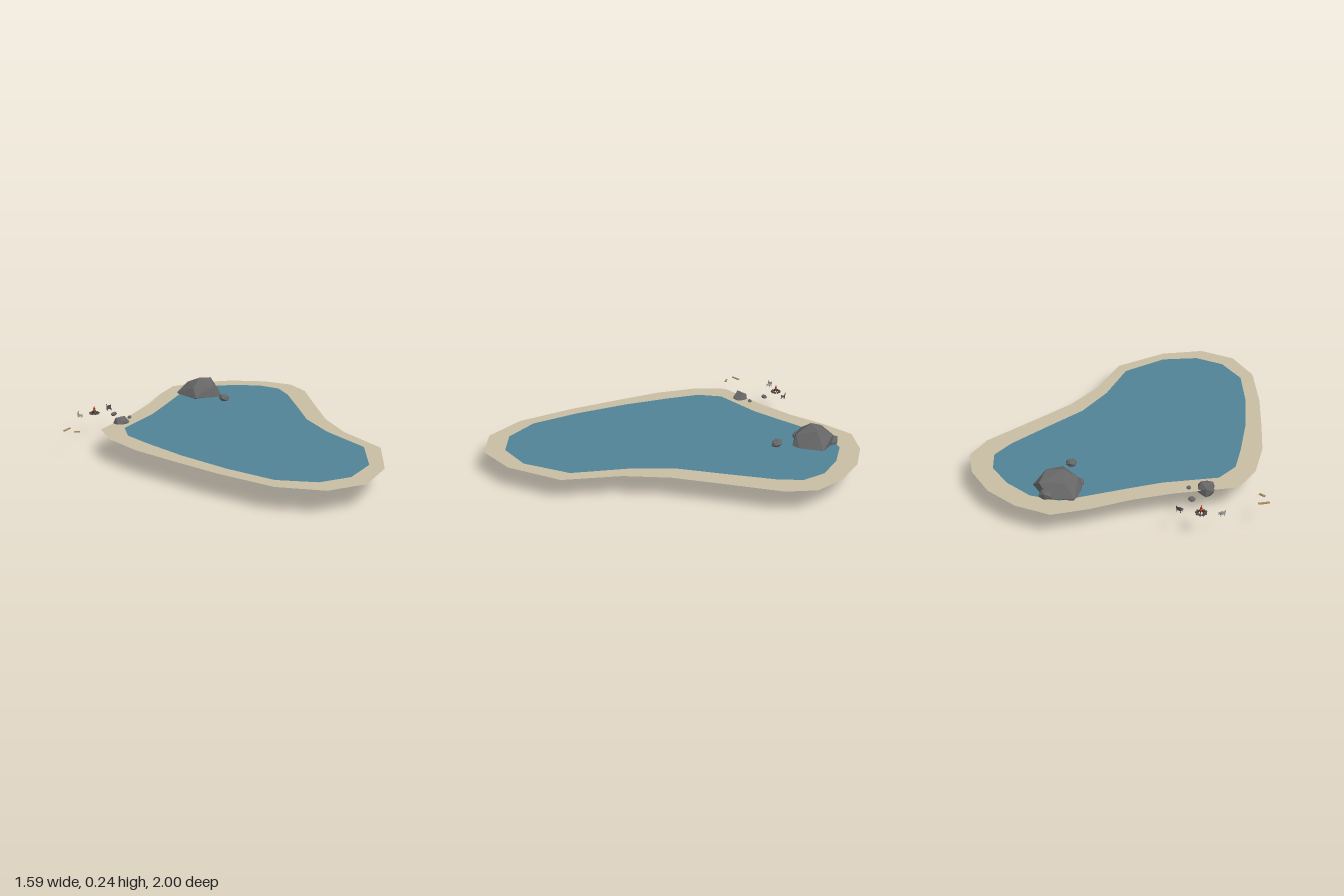
import * as THREE from 'three';
import { ConvexGeometry } from 'three/addons/geometries/ConvexGeometry.js';

const GROUND = 0.133;
const mat = (color, side = THREE.FrontSide) => new THREE.MeshStandardMaterial({ color, side, flatShading: true });
const stone = mat(0x666666), darkStone = mat(0x4c4c4c), wood = mat(0xa58a62);
const darkWood = mat(0x4a3020), flameMat = mat(0xc8452a), cloth = mat(0x999999);

function add(parent, name, geometry, material, x = 0, y = 0, z = 0) {
  const mesh = new THREE.Mesh(geometry, material);
  mesh.name = name;
  mesh.position.set(x, y, z);
  parent.add(mesh);
  return mesh;
}

// Flat polygon lying on the ground, from [x, z] corners
function sheet(corners) {
  const shape = new THREE.Shape(corners.map(([x, z]) => new THREE.Vector2(x, -z)));
  return new THREE.ShapeGeometry(shape).rotateX(-Math.PI / 2);
}

// Irregular faceted boulder: hull of an icosahedron with uneven corners
function boulder(rx, ry, rz, seed) {
  const p = new THREE.IcosahedronGeometry(1, 0).getAttribute('position');
  const points = [];
  for (let i = 0; i < p.count; i++) {
    const v = new THREE.Vector3().fromBufferAttribute(p, i);
    const k = 0.95 + 0.13 * Math.sin(seed * 7 + v.x * 5 + v.y * 9 + v.z * 13);
    points.push(v.multiplyScalar(k).multiply(new THREE.Vector3(rx, ry, rz)));
  }
  return new ConvexGeometry(points);
}

// Straight stick between two points
function stick(parent, name, a, b, r, material) {
  const from = new THREE.Vector3(...a), to = new THREE.Vector3(...b);
  const dir = to.clone().sub(from);
  const mesh = add(parent, name, new THREE.CylinderGeometry(r, r, dir.length(), 6), material);
  mesh.position.copy(from).add(to).multiplyScalar(0.5);
  mesh.quaternion.setFromUnitVectors(new THREE.Vector3(0, 1, 0), dir.normalize());
}

// Small camp seat with legs and two back posts
function campSeat(parent, name, x, z, turn, material) {
  const seat = new THREE.Group();
  seat.name = name;
  seat.position.set(x, GROUND, z);
  seat.rotation.y = turn;
  add(seat, 'seatPad', new THREE.BoxGeometry(0.025, 0.005, 0.022), material, 0, 0.012, 0);
  add(seat, 'backRest', new THREE.BoxGeometry(0.022, 0.012, 0.003), material, 0, 0.021, -0.011);
  for (const s of [-1, 1]) {
    stick(seat, 'backPost', [s * 0.011, 0, -0.009], [s * 0.012, 0.034, -0.014], 0.002, material);
    stick(seat, 'frontLeg', [s * 0.011, 0, 0.009], [s * 0.011, 0.012, 0.008], 0.002, material);
  }
  parent.add(seat);
}

export function createModel() {
  const model = new THREE.Group();
  model.name = 'pondScene';

  // Sandy shore and water surface
  const shore = [
    [0.26, -1], [0.45, -0.94], [0.615, -0.82], [0.74, -0.65], [0.795, -0.475], [0.74, -0.31], [0.54, -0.06],
    [0.36, 0.17], [0.24, 0.4], [0.155, 0.715], [-0.1, 0.93], [-0.34, 1], [-0.54, 0.915], [-0.67, 0.695],
    [-0.72, 0.355], [-0.74, 0.03], [-0.75, -0.22], [-0.72, -0.46], [-0.64, -0.63], [-0.315, -0.73],
    [-0.115, -0.815], [0.08, -0.925]];
  const water = [
    [0.24, -0.87], [0.395, -0.84], [0.535, -0.735], [0.64, -0.6], [0.665, -0.46], [0.6, -0.33], [0.44, -0.115],
    [0.28, 0.095], [0.175, 0.335], [0.1, 0.645], [-0.11, 0.84], [-0.315, 0.885], [-0.48, 0.815], [-0.6, 0.635],
    [-0.64, 0.345], [-0.65, 0.03], [-0.635, -0.24], [-0.615, -0.43], [-0.535, -0.55], [-0.25, -0.635],
    [-0.09, -0.71], [0.135, -0.82]];
  add(model, 'shore', sheet(shore), mat(0xc8bda2, THREE.DoubleSide), 0, GROUND, 0);
  add(model, 'water', sheet(water), mat(0x4f8294, THREE.DoubleSide), 0, GROUND + 0.002, 0);

  // Large boulder in the water, pointed below
  const hull = [
    [0.25, 0, -0.74], [0.18, 0.065, -0.67], [0.375, 0.07, -0.73], [0.2, 0.06, -0.82], [0.33, 0.06, -0.82],
    [0.27, 0.06, -0.62], [0.145, 0.13, -0.76], [0.165, 0.14, -0.86], [0.29, 0.14, -0.865], [0.4, 0.135, -0.735],
    [0.32, 0.13, -0.63], [0.27, 0.12, -0.605], [0.155, 0.15, -0.69], [0.35, 0.2, -0.82], [0.33, 0.227, -0.73],
    [0.24, 0.24, -0.74], [0.17, 0.19, -0.72], [0.26, 0.195, -0.635], [0.22, 0.205, -0.82]];
  add(model, 'largeBoulder', new ConvexGeometry(hull.map((c) => new THREE.Vector3(...c))), stone);

  // Smaller rocks: name, centre, radii, seed
  const rocks = [
    ['boulderSideRock', 0.315, 0.145, -0.835, 0.046, 0.038, 0.044, 1],
    ['boulderFootRock', 0.17, 0.14, -0.69, 0.032, 0.03, 0.03, 2],
    ['waterRock', 0.237, 0.153, -0.527, 0.035, 0.025, 0.037, 3],
    ['shoreRock', -0.478, 0.123, -0.65, 0.056, 0.05, 0.054, 4],
    ['pebble', -0.39, 0.14, -0.675, 0.014, 0.011, 0.013, 5],
    ['sittingRock', -0.413, 0.142, -0.785, 0.021, 0.014, 0.018, 6]];
  for (const [name, x, y, z, rx, ry, rz, seed] of rocks) {
    add(model, name, boulder(rx, ry, rz, seed), stone, x, y, z);
  }

  // Campfire: stone ring, leaning logs and a flame
  const fire = new THREE.Group();
  fire.name = 'campfire';
  fire.position.set(-0.467, GROUND, -0.895);
  model.add(fire);
  for (let i = 0; i < 9; i++) {
    const a = (i / 9) * Math.PI * 2;
    add(fire, 'ringStone', boulder(0.009, 0.007, 0.009, i), darkStone, Math.cos(a) * 0.024, 0.005, Math.sin(a) * 0.024);
  }
  for (let i = 0; i < 5; i++) {
    const a = (i / 5) * Math.PI * 2, c = Math.cos(a), s = Math.sin(a);
    stick(fire, 'log', [c * 0.018, 0.002, s * 0.018], [-c * 0.004, 0.032, -s * 0.004], 0.003, darkWood);
  }
  add(fire, 'flame', new THREE.ConeGeometry(0.009, 0.04, 6), flameMat, 0, 0.032, 0);

  // Seats beside the fire
  campSeat(model, 'darkSeat', -0.362, -0.888, -0.6, darkStone);
  campSeat(model, 'lightSeat', -0.567, -0.9, 0.6, cloth);

  // Planks lying on the ground
  for (const [name, x, z, length, turn] of [['longPlank', -0.77, -0.766, 0.058, 0.33], ['shortPlank', -0.759, -0.692, 0.034, -0.6]]) {
    add(model, name, new THREE.BoxGeometry(length, 0.005, 0.012), wood, x, GROUND + 0.002, z).rotation.y = turn;
  }
  return model;
}
